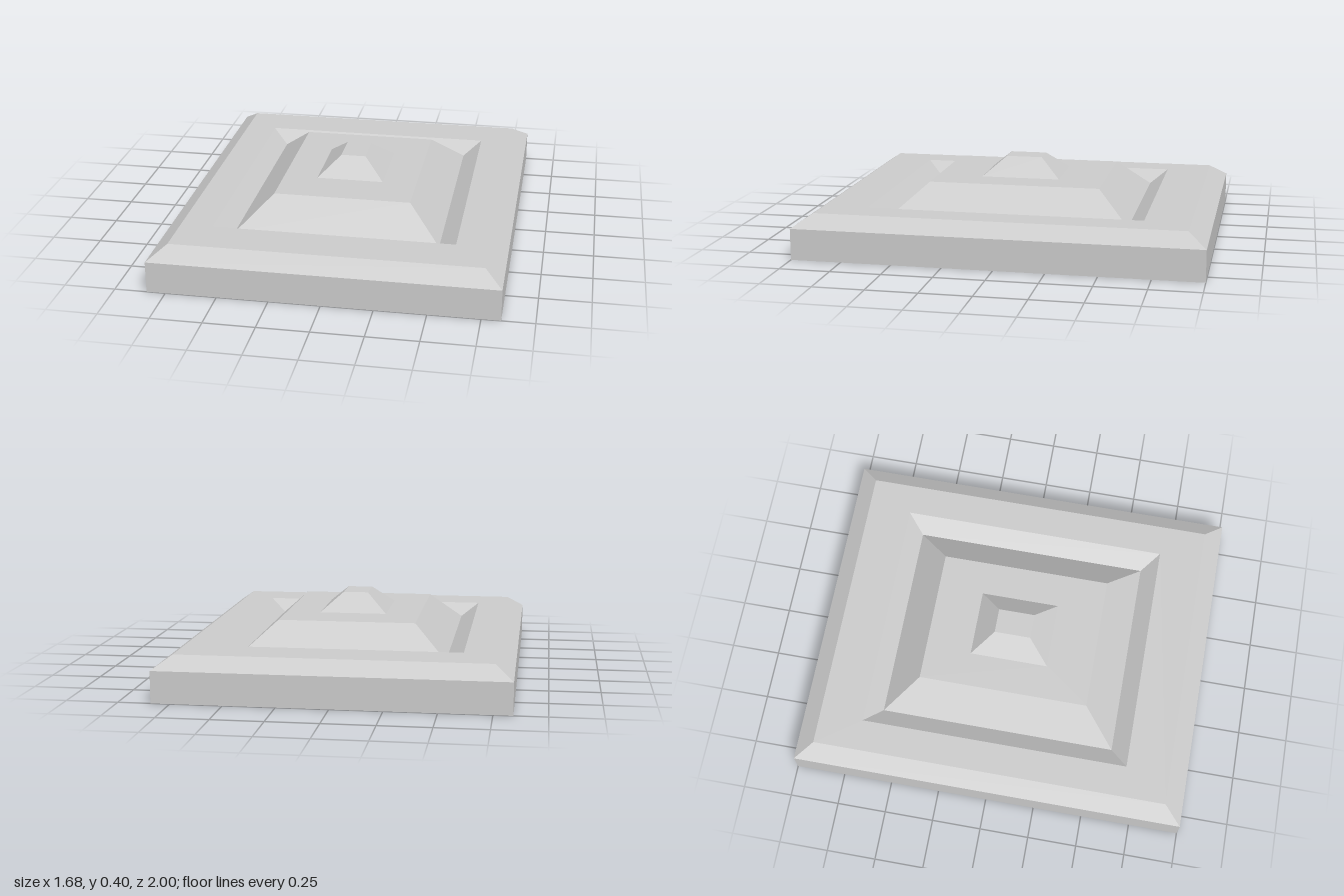
import * as THREE from 'three';

const material = new THREE.MeshStandardMaterial({ color: 0xcccccc, flatShading: true });

// Four corners of a rectangular ring given as [half width, half depth, height]
const corners = ([x, z, y]) => [[-x, y, z], [x, y, z], [x, y, -z], [-x, y, -z]];

// Skin successive rectangular rings with flat faces, optionally closing the ends
function steppedBlock(name, rings, { bottom = false, top = false } = {}) {
  const positions = [];
  const quad = (a, b, c, d) => positions.push(...a, ...b, ...c, ...a, ...c, ...d);
  const loops = rings.map(corners);
  for (let r = 0; r < loops.length - 1; r++) {
    for (let i = 0; i < 4; i++) {
      const j = (i + 1) % 4;
      quad(loops[r][i], loops[r][j], loops[r + 1][j], loops[r + 1][i]);
    }
  }
  if (bottom) quad(...[...loops[0]].reverse());
  if (top) quad(...loops[loops.length - 1]);

  const geometry = new THREE.BufferGeometry();
  geometry.setAttribute('position', new THREE.Float32BufferAttribute(positions, 3));
  geometry.computeVertexNormals();
  const mesh = new THREE.Mesh(geometry, material);
  mesh.name = name;
  return mesh;
}

export function createModel() {
  const model = new THREE.Group();
  model.name = 'steppedPanel';

  const grooveFloor = [0.507, 0.599, 0.155];
  const capFoot = [0.169, 0.2, 0.304];

  // Slab with bevelled outer edge, flat border and slope into the groove
  model.add(steppedBlock('borderSlab', [
    [0.842, 1, 0],
    [0.842, 1, 0.155],
    [0.755, 0.909, 0.217],
    [0.597, 0.686, 0.217],
    grooveFloor,
  ], { bottom: true }));

  // Raised field rising from the groove to a flat terrace
  model.add(steppedBlock('raisedField', [grooveFloor, [0.342, 0.433, 0.304], capFoot]));

  // Truncated pyramid in the middle
  model.add(steppedBlock('centreCap', [capFoot, [0.063, 0.092, 0.395]], { top: true }));

  return model;
}
